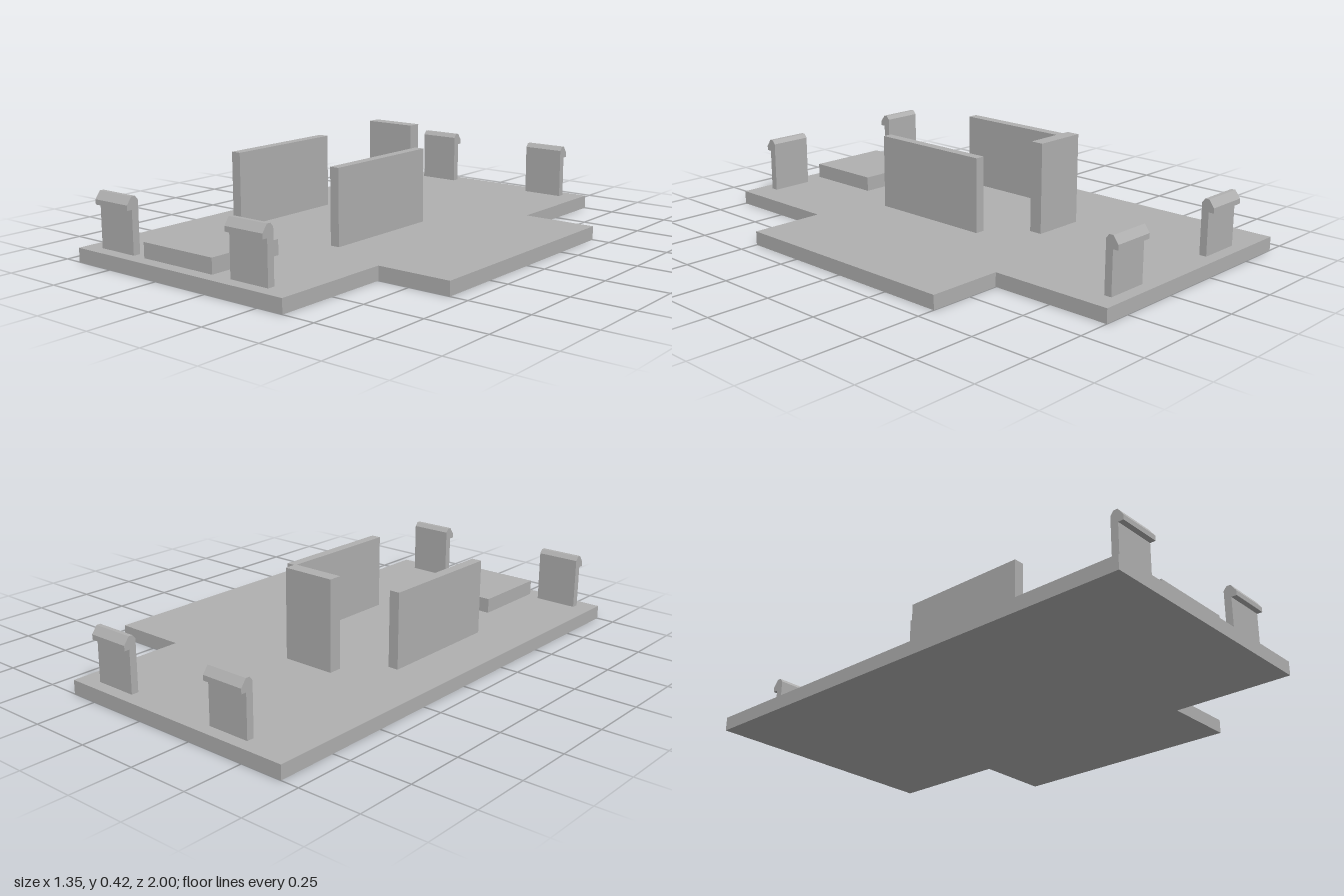
import * as THREE from 'three';

export function createModel() {
  const model = new THREE.Group();
  const grey = new THREE.MeshStandardMaterial({ color: 0xb0b0b0 });
  grey.name = 'plain grey';
  const plateTop = 0.056;

  const add = (name, geometry) => {
    const mesh = new THREE.Mesh(geometry, grey);
    mesh.name = name;
    model.add(mesh);
    return mesh;
  };
  const outline = (points) => new THREE.Shape(points.map(([a, b]) => new THREE.Vector2(a, b)));

  // Base plate with a side tab
  const plate = new THREE.ExtrudeGeometry(outline([
    [-0.676, -1], [0.364, -1], [0.364, -0.5], [0.676, -0.5],
    [0.676, 0.5], [0.364, 0.5], [0.364, 1], [-0.676, 1],
  ]), { depth: plateTop, bevelEnabled: false });
  add('basePlate', plate.rotateX(-Math.PI / 2));

  // Upright boxes standing on the plate
  const block = (name, x0, x1, top, z0, z1) => {
    const h = top - plateTop;
    add(name, new THREE.BoxGeometry(x1 - x0, h, z1 - z0))
      .position.set((x0 + x1) / 2, plateTop + h / 2, (z0 + z1) / 2);
  };
  block('rightWall', -0.47, -0.427, 0.36, -0.142, 0.39);
  block('leftWall', 0.047, 0.087, 0.36, -0.142, 0.39);
  block('backPost', -0.301, -0.08, 0.421, -0.331, -0.277);
  block('frontPad', -0.367, -0.014, 0.117, 0.614, 0.948);

  // Snap clips: a thin stem with an outward hook
  const clip = new THREE.ExtrudeGeometry(outline([
    [0.919, plateTop], [0.949, plateTop], [0.949, 0.228], [0.971, 0.228],
    [0.971, 0.248], [0.949, 0.278], [0.932, 0.278], [0.919, 0.262],
  ]), { depth: 0.177, bevelEnabled: false });
  clip.translate(0, 0, -0.0885).rotateY(-Math.PI / 2);
  for (const [name, x, back] of [
    ['frontRightClip', -0.512, false], ['frontLeftClip', 0.165, false],
    ['backRightClip', -0.39, true], ['backLeftClip', 0.187, true],
  ]) {
    const mesh = add(name, clip);
    mesh.position.x = x;
    if (back) mesh.rotation.y = Math.PI;
  }
  return model;
}
